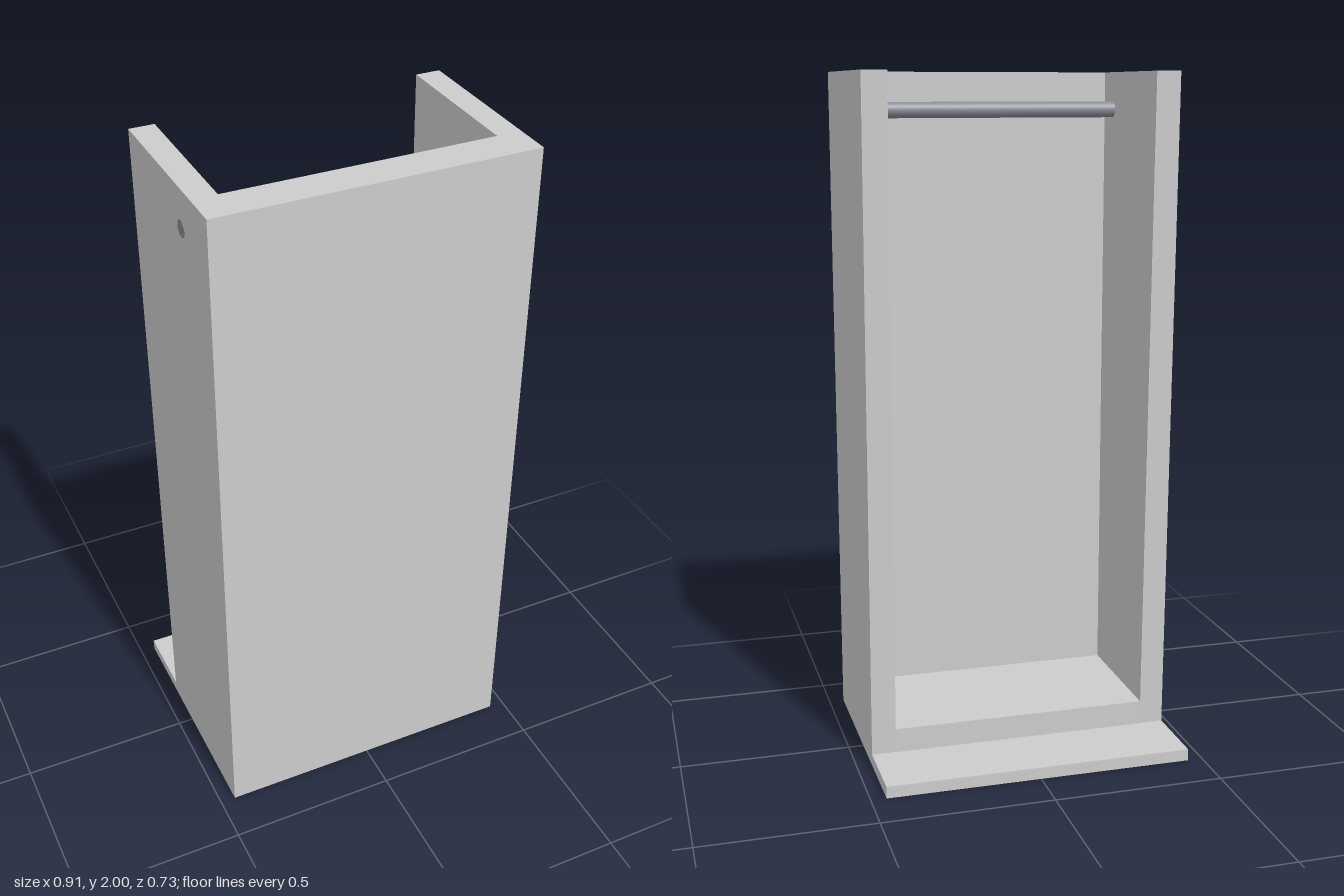
import * as THREE from 'three';

const bodyMaterial = new THREE.MeshStandardMaterial({ color: 0xcccccc, side: THREE.DoubleSide });
const rodMaterial = new THREE.MeshStandardMaterial({ color: 0x878b93 });

// Face order of BoxGeometry, six indices per face
const FACE = { left: 0, right: 1, top: 2, bottom: 3, front: 4, back: 5 };

// Box given by its limits, without the listed faces
function shellBox(name, [x0, x1], [y0, y1], [z0, z1], dropped) {
  const geometry = new THREE.BoxGeometry(x1 - x0, y1 - y0, z1 - z0);
  geometry.translate((x0 + x1) / 2, (y0 + y1) / 2, (z0 + z1) / 2);
  const skip = dropped.map((f) => FACE[f]);
  const kept = Array.from(geometry.index.array).filter((_, i) => !skip.includes(Math.floor(i / 6)));
  geometry.setIndex(kept);
  geometry.clearGroups();
  const mesh = new THREE.Mesh(geometry, bodyMaterial);
  mesh.name = name;
  return mesh;
}

export function createModel() {
  const group = new THREE.Group();
  group.name = 'openBackCabinet';

  const outer = 0.455, inner = 0.383;
  const front = 0.363, panelBack = 0.255;
  const backLow = -0.145, backHigh = -0.183, stepBack = -0.363;
  const floorTop = 0.107, stepTop = 0.035, height = 2;

  // Thick front panel, hollow and open underneath
  group.add(shellBox('frontPanel', [-outer, outer], [0, height], [panelBack, front], ['bottom']));

  // Side walls that grow deeper towards the top
  for (const side of [1, -1]) {
    const xs = side > 0 ? [inner, outer] : [-outer, -inner];
    const wall = shellBox(side > 0 ? 'leftWall' : 'rightWall', xs, [0, height], [backLow, panelBack], ['bottom', 'front']);
    const p = wall.geometry.attributes.position;
    for (let i = 0; i < p.count; i++) {
      if (p.getZ(i) < 0 && p.getY(i) > 1) p.setZ(i, backHigh);
    }
    wall.geometry.computeVertexNormals();
    group.add(wall);
  }

  // Raised floor between the walls
  group.add(shellBox('floor', [-inner, inner], [0, floorTop], [backLow - 0.002, panelBack],
    ['bottom', 'front', 'left', 'right']));

  // Low step behind the opening
  group.add(shellBox('backStep', [-outer, outer], [0, stepTop], [stepBack, backLow], ['bottom', 'front']));

  // Hanging rod, its end showing through the right wall
  const x0 = -outer - 0.001, x1 = inner;
  const rod = new THREE.Mesh(new THREE.CylinderGeometry(0.0235, 0.0235, x1 - x0, 32), rodMaterial);
  rod.name = 'hangingRod';
  rod.rotation.z = Math.PI / 2;
  rod.position.set((x0 + x1) / 2, 1.89, 0.184);
  group.add(rod);

  return group;
}
